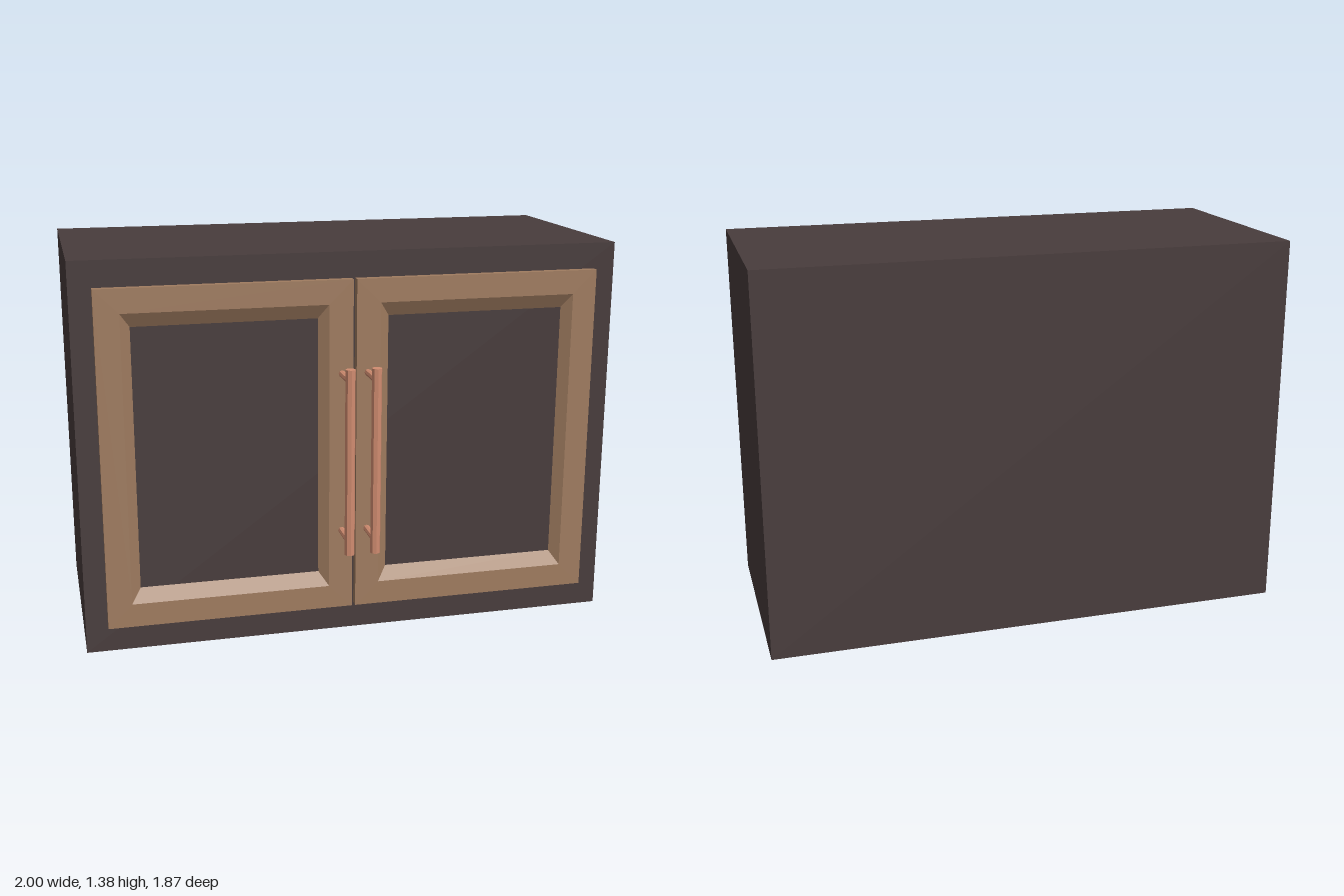
import * as THREE from 'three';

const W = 1.913, H = 1.38, D = 0.83;      // cabinet body
const FACE = D / 2, T = 0.028;            // front plane and door thickness

const mat = (name, color) => {
  const m = new THREE.MeshStandardMaterial({ color });
  m.name = name;
  return m;
};

const add = (parent, name, geometry, material, x = 0, y = 0, z = 0) => {
  const mesh = new THREE.Mesh(geometry, material);
  mesh.name = name;
  mesh.position.set(x, y, z);
  parent.add(mesh);
  return mesh;
};

// Rectangular frame made of four rings: outer back, outer front, opening, foot of the bevel
function frameGeometry(w, h) {
  const ring = (inX, inY, z) => [[-1, -1], [1, -1], [1, 1], [-1, 1]]
    .map(([sx, sy]) => [sx * (w / 2 - inX), sy * (h / 2 - inY), z]);
  const rings = [
    ring(0, 0, 0), ring(0, 0, T),
    ring(0.085, 0.084, T), ring(0.119, 0.134, 0.001),
  ];
  const pos = [];
  for (let r = 0; r < 3; r++) {
    for (let i = 0; i < 4; i++) {
      const j = (i + 1) % 4, a = rings[r], b = rings[r + 1];
      pos.push(...a[i], ...a[j], ...b[j], ...a[i], ...b[j], ...b[i]);
    }
  }
  const g = new THREE.BufferGeometry();
  g.setAttribute('position', new THREE.Float32BufferAttribute(pos, 3));
  g.computeVertexNormals();
  return g;
}

export function createModel() {
  const dark = mat('dark brown wood', 0x483c3c);
  const wood = mat('light wood', 0xa07c60);
  const copper = mat('copper', 0xd08c70);
  copper.flatShading = true;

  const model = new THREE.Group();
  model.name = 'cabinet';
  const cabinet = new THREE.Group();
  cabinet.name = 'turnedCabinet';
  cabinet.rotation.y = -THREE.MathUtils.degToRad(40);
  model.add(cabinet);

  // Body, whose front also shows through the door frames
  add(cabinet, 'body', new THREE.BoxGeometry(W, H, D), dark, 0, H / 2, 0);

  const inner = 0.006, outer = 0.88;
  const door = frameGeometry(outer - inner, 1.194);
  const bar = new THREE.CylinderGeometry(0.018, 0.018, 0.662, 8);
  const post = new THREE.CylinderGeometry(0.012, 0.012, 0.12, 8).rotateX(Math.PI / 2);

  for (const [side, s] of [['right', -1], ['left', 1]]) {
    // Door frame
    add(cabinet, side + 'DoorFrame', door, wood, s * (inner + outer) / 2, 0.692, FACE);

    // Bar handle on two posts
    const handle = new THREE.Group();
    handle.name = side + 'Handle';
    handle.position.set(s * 0.046, 0, 0);
    cabinet.add(handle);
    add(handle, 'bar', bar, copper, 0, 0.674, 0.56);
    for (const y of [0.39, 0.963]) add(handle, 'post', post, copper, 0, y, FACE + T + 0.058);
  }
  return model;
}
